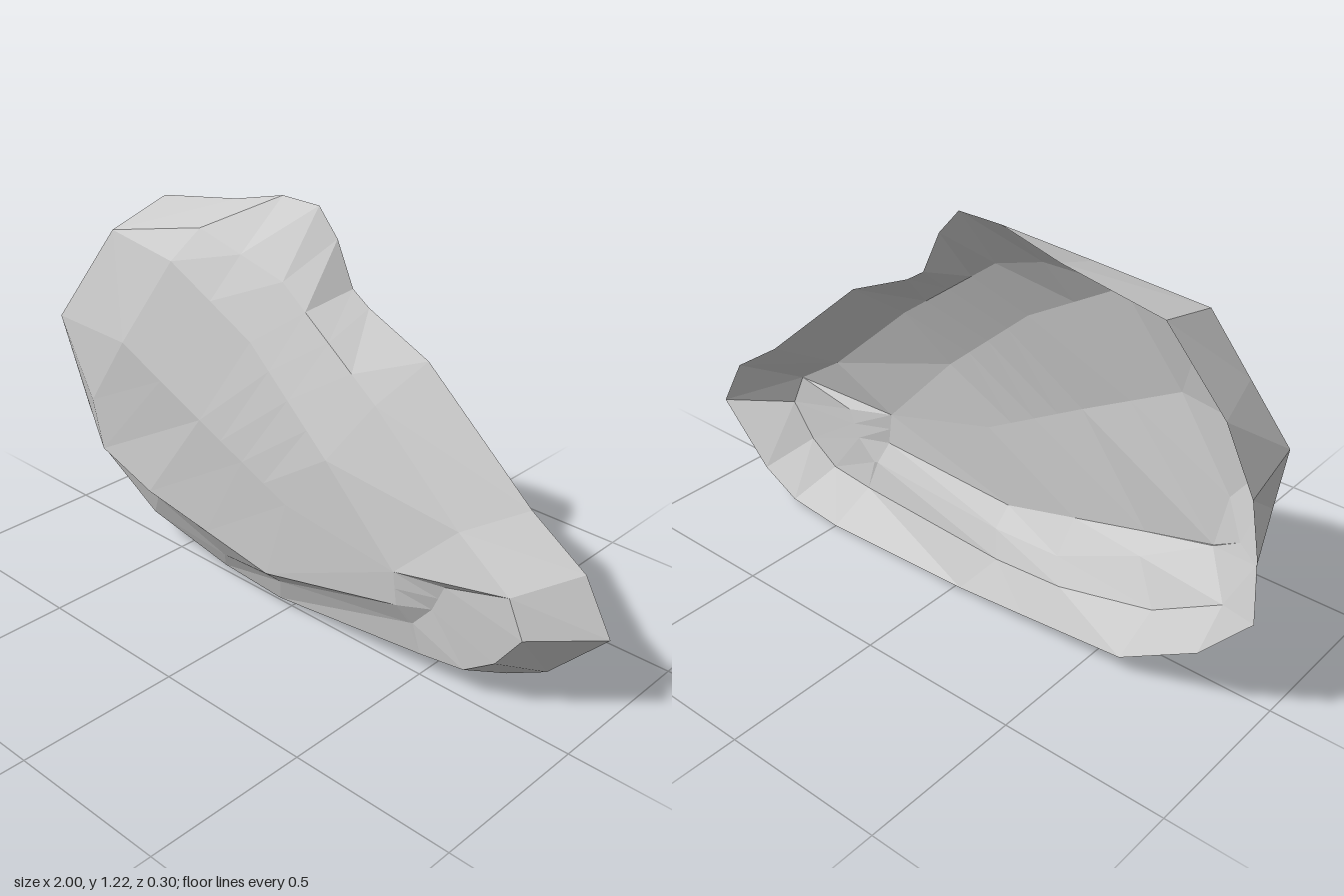
import * as THREE from 'three';

const COLUMNS = 22;
const BACK = -0.15;

// Rim outline on the open back, clockwise from the left side
const rimOutline = [
  [-0.96, 0.73], [-0.87, 0.91], [-0.685, 1.115], [-0.37, 1.17], [-0.18, 1.22], [-0.04, 1.22],
  [0.03, 1.14], [0.09, 1.01], [0.15, 0.97], [0.365, 0.875], [0.73, 0.56], [0.91, 0.44],
  [1, 0.28], [0.82, 0.09], [0.69, 0.02], [0.5, 0], [-0.03, 0.015], [-0.27, 0.035],
  [-0.61, 0.065], [-0.85, 0.21], [-1, 0.38], [-0.99, 0.56],
];

// Key points [column, x, y, z] of the inner rings; columns between are interpolated
const shoulderKeys = [
  [0, -0.91, 0.73, 0.11], [2, -0.67, 1.06, 0.075], [3, -0.36, 1.12, 0.005], [5, -0.05, 1.03, -0.015],
  [9, 0.3, 0.77, -0.01], [10, 0.6, 0.5, -0.01], [11, 0.78, 0.38, 0], [12, 0.83, 0.27, 0],
  [13, 0.75, 0.16, 0], [14, 0.65, 0.09, 0], [15, 0.5, 0.07, 0.003], [16, -0.03, 0.025, 0.02],
  [17, -0.27, 0.04, 0.02], [18, -0.59, 0.11, 0.03], [19, -0.81, 0.24, 0.03], [20, -0.89, 0.4, 0.04],
];
const grooveKeys = [
  [0, -0.91, 0.73, 0.11], [2, -0.67, 1.06, 0.075], [3, -0.4, 1.03, 0.085], [5, -0.1, 0.86, 0.065],
  [9, 0.2, 0.6, 0.075], [10, 0.44, 0.34, 0.06], [11, 0.58, 0.33, 0.012], [13, 0.54, 0.24, 0.01],
  [14, 0.48, 0.17, 0.015], [15, 0.47, 0.17, 0.02], [16, 0, 0.11, 0.05], [17, -0.23, 0.11, 0.06],
  [18, -0.5, 0.22, 0.09], [19, -0.71, 0.335, 0.125], [20, -0.81, 0.41, 0.09],
];
const creaseKeys = [
  ...grooveKeys.slice(0, 6),
  [11, 0.44, 0.34, 0.06], [13, 0.45, 0.235, 0.055], [15, 0.45, 0.235, 0.055], [16, 0, 0.165, 0.11],
  [18, -0.48, 0.27, 0.14], [19, -0.71, 0.335, 0.13], [20, -0.74, 0.5, 0.138], [21, -0.74, 0.5, 0.138],
];
// The ridge runs out along the crown and back, closing the surface
const ridgeKeys = [
  [0, -0.56, 0.75, 0.15], [3, -0.56, 0.75, 0.15], [5, -0.25, 0.59, 0.13], [9, 0.07, 0.42, 0.1],
  [10, 0.44, 0.34, 0.06], [15, 0.44, 0.34, 0.06], [16, 0.07, 0.42, 0.1], [18, -0.25, 0.59, 0.13],
  [20, -0.56, 0.75, 0.15],
];

function ringFromKeys(keys) {
  const closed = [...keys, [COLUMNS, ...keys[0].slice(1)]];
  return Array.from({ length: COLUMNS }, (_, column) => {
    const k = closed.findIndex((key) => key[0] > column) - 1;
    const [a, b] = [closed[k], closed[k + 1]];
    const t = (column - a[0]) / (b[0] - a[0]);
    return new THREE.Vector3(...a.slice(1)).lerp(new THREE.Vector3(...b.slice(1)), t);
  });
}

// Flat-shaded band joining an outer ring to the next ring inward
function band(outer, inner) {
  const points = [];
  const triangle = new THREE.Triangle();
  const add = (a, b, c) => {
    triangle.set(a, b, c);
    if (triangle.getArea() > 1e-7) points.push(a, b, c);
  };
  for (let i = 0; i < COLUMNS; i++) {
    const j = (i + 1) % COLUMNS;
    add(outer[i], inner[i], outer[j]);
    add(inner[i], inner[j], outer[j]);
  }
  const geometry = new THREE.BufferGeometry().setFromPoints(points);
  geometry.computeVertexNormals();
  return geometry;
}

export function createModel() {
  const stone = new THREE.MeshStandardMaterial({ color: 0xcccccc, flatShading: true, side: THREE.DoubleSide });
  stone.name = 'pale grey';

  const group = new THREE.Group();
  group.name = 'hollowShell';

  const rings = [
    rimOutline.map(([x, y]) => new THREE.Vector3(x, y, BACK)),
    ...[shoulderKeys, grooveKeys, creaseKeys, ridgeKeys].map(ringFromKeys),
  ];
  ['sideWall', 'shoulder', 'lowerUndercut', 'domedFace'].forEach((name, i) => {
    const mesh = new THREE.Mesh(band(rings[i], rings[i + 1]), stone);
    mesh.name = name;
    group.add(mesh);
  });
  return group;
}
